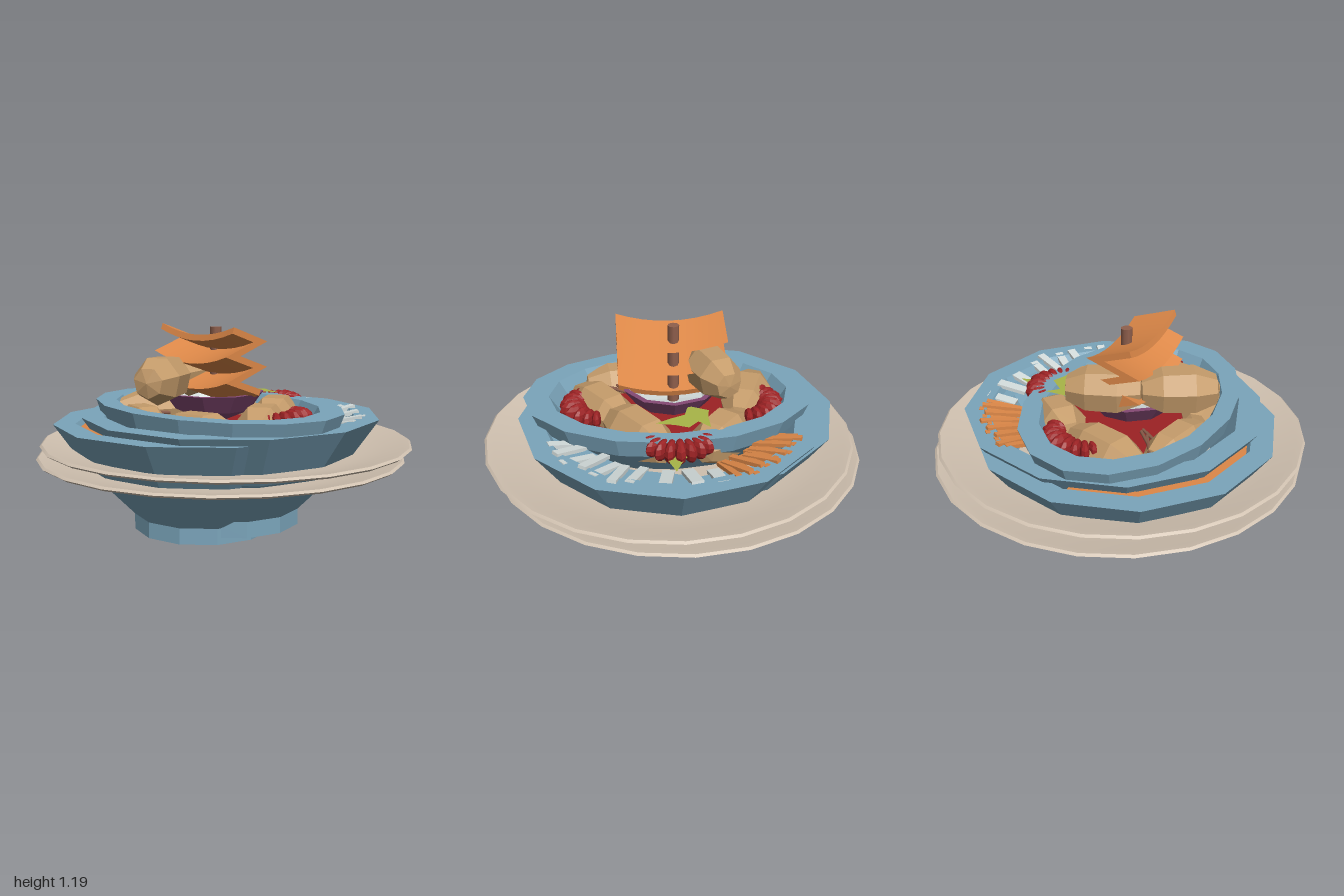
import * as THREE from 'three';
import { toCreasedNormals } from 'three/addons/utils/BufferGeometryUtils.js';

const paint = (name, color) => Object.assign(new THREE.MeshStandardMaterial({ color }), { name });
const M = {
  blue: paint('blue glaze', 0x7ba5bb),
  cream: paint('cream china', 0xd0c1b0),
  olive: paint('unglazed base', 0xbfbf98),
  brown: paint('brown wood', 0x8f5f4c),
  orange: paint('carrot orange', 0xdd8848),
  tan: paint('potato tan', 0xc59c6b),
  red: paint('dark red', 0x9c2224),
  purple: paint('onion purple', 0x854a74),
  white: paint('radish white', 0xd3dcdb),
  lime: paint('leaf green', 0xa8b548),
};
M.lime.side = M.orange.side = THREE.DoubleSide;

const rad = THREE.MathUtils.degToRad;

function flat(geo) {
  const g = geo.index ? geo.toNonIndexed() : geo;
  g.computeVertexNormals();
  return g;
}

function lathe(points, sides, start = 0, length = Math.PI * 2) {
  return new THREE.LatheGeometry(points.map(([r, y]) => new THREE.Vector2(r, y)), sides, start, length);
}

export function createModel() {
  const model = new THREE.Group();
  const add = (name, geo, mat, x = 0, y = 0, z = 0, parent = model) => {
    const mesh = new THREE.Mesh(geo, mat);
    mesh.name = name;
    mesh.position.set(x, y, z);
    parent.add(mesh);
    return mesh;
  };

  // Two stacked plates
  const plate = toCreasedNormals(lathe([
    [0, 0], [0.58, 0], [0.7, 0.015], [0.86, 0.045], [0.96, 0.07], [0.977, 0.082],
    [0.965, 0.092], [0.93, 0.085], [0.84, 0.06], [0.7, 0.035], [0.55, 0.025], [0, 0.025],
  ], 24), 0.7);
  add('lowerPlate', plate, M.cream, -0.022, 0.42, 0);
  add('upperPlate', plate, M.cream, 0.02, 0.495, 0);

  // Two offset twelve-sided bowls with plain bases
  const bowl = flat(lathe([
    [0.375, 0], [0.375, 0.085], [0.615, 0.33], [0.79, 0.585],
    [0.675, 0.585], [0.53, 0.37], [0.3, 0.12], [0, 0.1],
  ], 12));
  const base = new THREE.CircleGeometry(0.375, 12).rotateX(Math.PI / 2);
  [['lowerBowl', -0.083, 0.095, 0.073], ['middleBowl', 0.015, 0.13, -0.038]].forEach(([name, x, y, z]) => {
    add(name, bowl, M.blue, x, y, z);
    add(name + 'Base', base, M.olive, x, y, z);
  });

  // Orange filling showing between the two bowls
  add('lowerBowlFilling', flat(lathe([[0.68, 0.655], [0.6, 0.655]], 4, -Math.PI / 2, Math.PI * 2 / 3)),
    M.orange, -0.083, 0, 0.073);

  // Oval top bowl and its red filling
  const oval = lathe([[0.5, 0.5], [0.73, 0.68], [0.77, 0.78], [0.635, 0.78], [0.56, 0.66]], 16);
  add('ovalBowl', flat(oval.scale(1, 1, 0.69)), M.blue, 0.012, 0, 0.075);
  add('ovalBowlFilling', new THREE.CircleGeometry(0.58, 16).rotateX(-Math.PI / 2).scale(1, 1, 0.69),
    M.red, 0.012, 0.67, 0.075);

  // Shredded vegetables fanned around the back of the middle bowl
  const strips = (name, mat, from, to, count, width, length) => {
    for (let i = 0; i < count; i++) {
      const a = rad(from + (to - from) * i / (count - 1));
      const r = 0.585 + (i % 3) * 0.015;
      const strip = add(name, new THREE.BoxGeometry(width, 0.02, length), mat,
        0.015 + Math.sin(a) * r, 0.69 + (i % 2) * 0.012, -0.038 + Math.cos(a) * r);
      strip.rotation.set(-0.2, a + (i % 2 ? 0.12 : -0.08), 0, 'YXZ');
    }
  };
  strips('radishStrip', M.white, 114, 160, 7, 0.045, 0.2);
  strips('radishStrip', M.white, 174, 197, 3, 0.06, 0.16);
  strips('carrotStrip', M.orange, 204, 245, 13, 0.032, 0.2);

  // Potatoes: six-sided tapered barrels
  const lump = lathe([[0, -1], [0.55, -0.95], [0.95, -0.45], [1, 0.35], [0.62, 0.9], [0, 1]], 7)
    .rotateX(Math.PI / 2);
  [
    [-0.06, 0.92, 0.36, 0.125, 0.2, 28], [-0.21, 0.92, 0.02, 0.125, 0.2, 20],
    [-0.23, 0.68, -0.24, 0.13, 0.18, -40], [0.19, 0.69, -0.2, 0.13, 0.23, 35],
    [0.37, 0.69, 0.08, 0.13, 0.22, 35], [-0.42, 0.69, 0.13, 0.13, 0.24, -20],
    [-0.18, 0.68, 0.4, 0.11, 0.2, 75], [0.25, 0.68, 0.39, 0.12, 0.22, 97],
  ].forEach(([x, y, z, r, half, yaw]) => {
    add('potato', flat(lump.clone().scale(r, r, half)), M.tan, x, y, z).rotation.y = rad(yaw);
  });

  // Ribbed red crescents
  const rib = flat(new THREE.SphereGeometry(1, 8, 6));
  const crescent = (x, y, z, facing) => {
    const group = new THREE.Group();
    group.name = 'redCrescent';
    group.position.set(x, y, z);
    group.rotation.y = rad(facing);
    for (let i = -4; i <= 4; i++) {
      const a = i * 0.3;
      const s = 1 - Math.abs(i) * 0.06;
      const mesh = add('crescentRib', rib, M.red, Math.sin(a) * 0.15, 0, Math.cos(a) * 0.13, group);
      mesh.rotation.y = a;
      mesh.scale.set(0.032 * s, 0.06 * s, 0.075 * s);
    }
    model.add(group);
  };
  crescent(0, 0.74, -0.34, 180);
  crescent(-0.39, 0.74, -0.02, -112);
  crescent(0.39, 0.74, 0.02, 105);

  // Half onion: purple skin, white inside
  add('onionSkin', flat(lathe([[0.06, 0.69], [0.2, 0.75], [0.265, 0.84], [0.235, 0.84]], 10)), M.purple, 0, 0, 0.07);
  add('onionInside', flat(lathe([[0.235, 0.84], [0.17, 0.77], [0, 0.74]], 10)), M.white, 0, 0, 0.07);

  // Leaves
  const leafShape = new THREE.Shape([[0, 0], [0.06, 0.07], [0.04, 0.15], [0.01, 0.24], [-0.03, 0.15], [-0.07, 0.09]]
    .map(p => new THREE.Vector2(...p)));
  const leaf = new THREE.ShapeGeometry(leafShape).rotateX(-Math.PI / 2);
  [[-0.07, 0.8, -0.13, 25], [-0.13, 0.81, -0.28, -80], [0.02, 0.725, -0.38, 0]].forEach(([x, y, z, yaw]) => {
    add('leaf', leaf, M.lime, x, y, z).rotation.y = rad(yaw);
  });

  // Thin brown sticks lying in the filling
  for (const [x, z, yaw] of [[-0.3, 0.3, -50], [0.31, 0.25, 55]]) {
    for (let i = -1; i <= 1; i++) {
      const stick = add('stick', new THREE.CylinderGeometry(0.009, 0.009, 0.26, 5).rotateX(Math.PI / 2),
        M.brown, x + i * 0.04, 0.72, z + Math.abs(i) * 0.02);
      stick.rotation.y = rad(yaw + i * 12);
    }
  }

  // Skewer running through everything
  add('skewer', toCreasedNormals(new THREE.CylinderGeometry(0.03, 0.03, 1.175, 8), 0.9), M.brown, -0.01, 0.5875, 0.045);

  // Folded orange ribbon threaded on the skewer
  const folds = 5;
  const path = Array.from({ length: folds + 1 }, (_, i) =>
    new THREE.Vector2(i % 2 ? 0.005 : 0.19, 1.125 - i * 0.064));
  const legNormal = i => {
    const t = path[i + 1].clone().sub(path[i]).normalize();
    return new THREE.Vector2(-t.y, t.x);
  };
  const ribbon = new THREE.BoxGeometry(0.56, 2, folds, 8, 1, folds);
  const p = ribbon.attributes.position;
  for (let k = 0; k < p.count; k++) {
    const i = Math.round(p.getZ(k) + folds / 2);
    const first = legNormal(Math.max(i - 1, 0));
    const second = legNormal(Math.min(i, folds - 1));
    const miter = first.clone().add(second).normalize();
    miter.multiplyScalar(0.016 / miter.dot(first) * p.getY(k));
    const x = p.getX(k);
    p.setXYZ(k, x, path[i].y + miter.y + 0.62 * x * x, path[i].x + miter.x);
  }
  add('foldedRibbon', toCreasedNormals(ribbon, 0.5), M.orange);

  return model;
}
